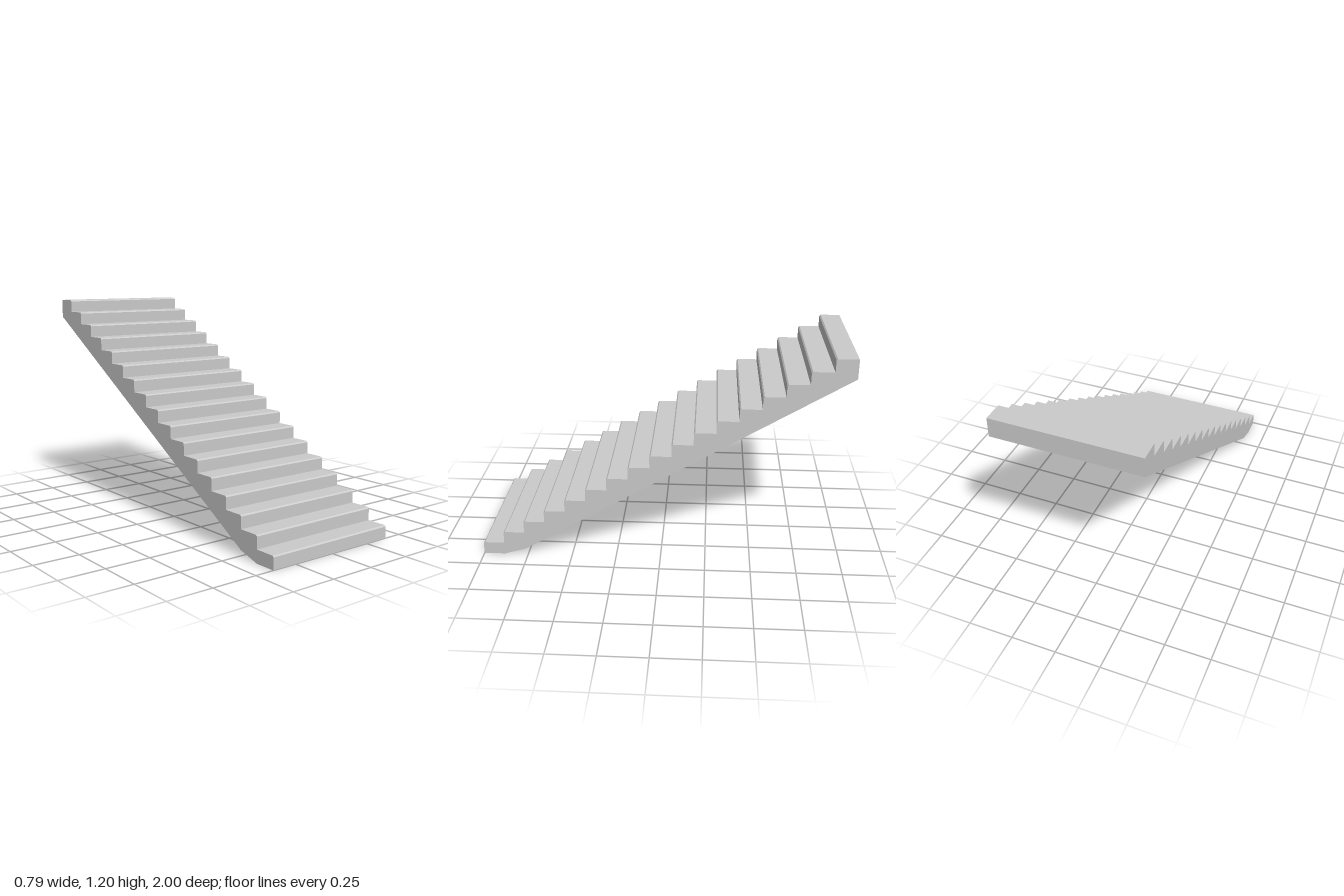
import * as THREE from 'three';

const STEPS = 17;
const RUN = 0.1178;      // tread depth
const RISE = 1.2 / STEPS;
const NOSE = 0.007;      // chamfer on each step edge
const WIDTH = 0.785;

export function createModel() {
  const group = new THREE.Group();
  group.name = 'staircase';

  // Side profile: u runs from the foot (z = 1) towards the back (z = -1)
  const profile = new THREE.Shape();
  profile.moveTo(0, 0);
  // Sloped underside with an eased foot
  profile.lineTo(0.118, 0);
  profile.lineTo(0.237, 0.036);
  profile.lineTo(2, 1.094);
  profile.lineTo(2, 1.2);
  // Steps from the top down, each with a chamfered nosing
  for (let i = STEPS - 1; i >= 0; i--) {
    const u = i * RUN;
    const y = (i + 1) * RISE;
    profile.lineTo(u + NOSE, y);
    profile.lineTo(u, y - NOSE);
    if (i > 0) profile.lineTo(u, y - RISE);
  }
  profile.closePath();

  // Extrude across the width, then turn the profile to climb towards -z
  const geometry = new THREE.ExtrudeGeometry(profile, { depth: WIDTH, bevelEnabled: false });
  geometry.translate(-1, 0, -WIDTH / 2);
  geometry.rotateY(Math.PI / 2);

  const material = new THREE.MeshStandardMaterial({ color: 0xcccccc, flatShading: true });
  const flight = new THREE.Mesh(geometry, material);
  flight.name = 'stairFlight';
  group.add(flight);
  return group;
}
